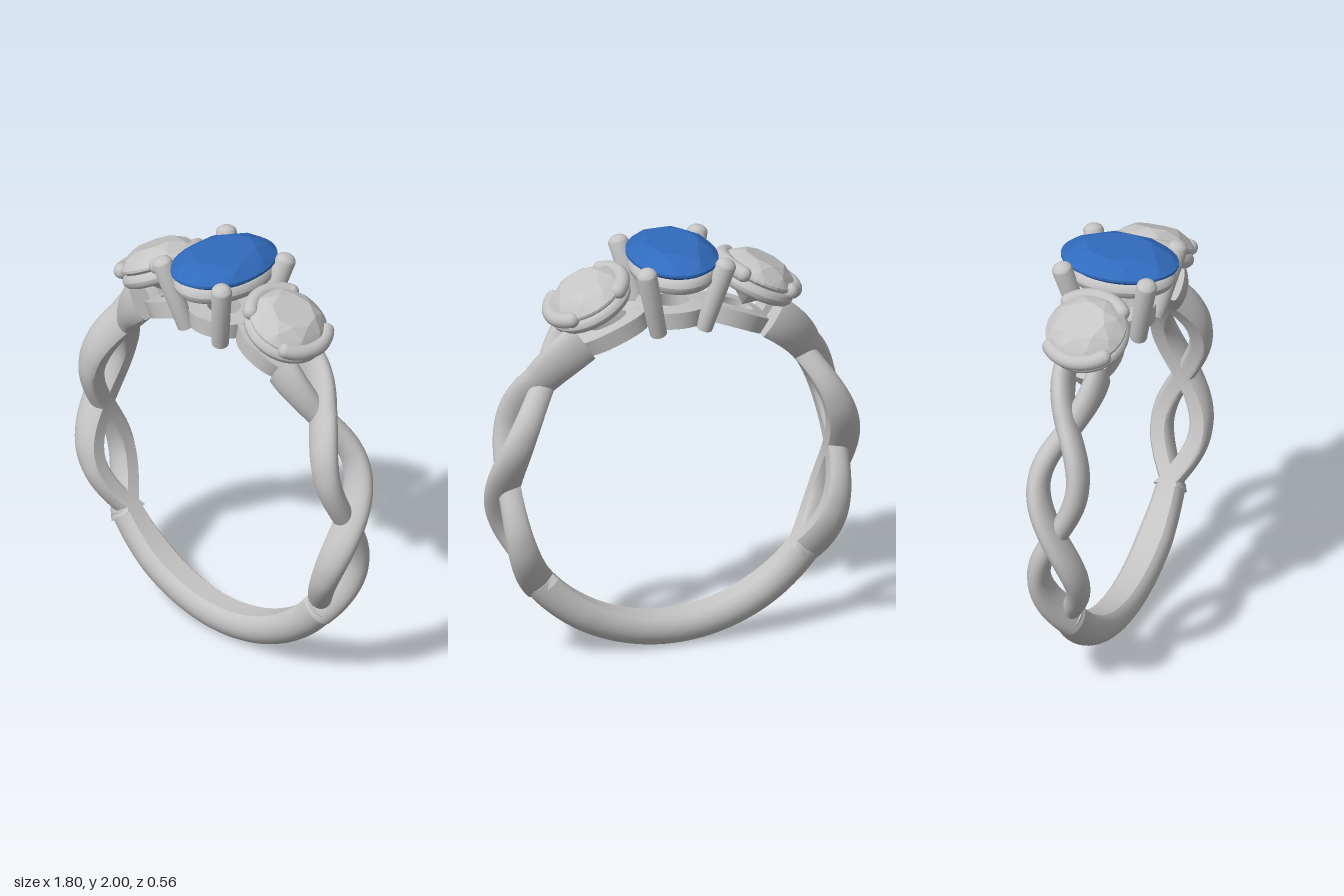
import * as THREE from 'three';
import { toCreasedNormals } from 'three/addons/utils/BufferGeometryUtils.js';
import { ConvexGeometry } from 'three/addons/geometries/ConvexGeometry.js';

const CY = 0.89, INNER = 0.74, DEG = Math.PI / 180;
const mat = (name, color) => Object.assign(new THREE.MeshStandardMaterial({ color }), { name });

export function createModel() {
  const metal = mat('silver metal', 0xc4c4c4);
  const clear = mat('clear gem', 0xc6c6c6);
  const blue = mat('blue gem', 0x316bbd);
  const model = new THREE.Group();
  model.name = 'ring';

  const add = (parent, name, geo, material = metal) => {
    const mesh = new THREE.Mesh(geo, material);
    mesh.name = name;
    parent.add(mesh);
    return mesh;
  };

  // Band swept round the finger; section(angle in degrees) gives z centre, half width and outer radius
  function band(a0, a1, steps, section) {
    const M = 28, pos = [], idx = [];
    const put = (a, r, z) => pos.push(r * Math.cos(a * DEG), CY + r * Math.sin(a * DEG), z);
    for (let i = 0; i <= steps; i++) {
      const a = a0 + (a1 - a0) * i / steps, { z, w, outer } = section(a);
      const low = INNER - 0.02, mid = (outer + low) / 2, h = (outer - low) / 2;
      for (let j = 0; j < M; j++) {
        const p = j / M * Math.PI * 2;
        put(a, Math.max(INNER, mid + h * Math.sin(p)), z + w * Math.cos(p));
      }
    }
    const ends = [a0, a1].map(a => {
      const { z, outer } = section(a);
      put(a, (INNER + outer) / 2, z);
      return pos.length / 3 - 1;
    });
    for (let j = 0; j < M; j++) {
      const k = (j + 1) % M;
      for (let i = 0; i < steps; i++) {
        const a = i * M + j, b = i * M + k;
        idx.push(a, b, b + M, a, b + M, a + M);
      }
      idx.push(ends[0], k, j, ends[1], steps * M + j, steps * M + k);
    }
    const geo = new THREE.BufferGeometry();
    geo.setAttribute('position', new THREE.Float32BufferAttribute(pos, 3));
    geo.setIndex(idx);
    return toCreasedNormals(geo, 0.7);
  }

  // Faceted gem: table, crown, girdle, pavilion and culet
  function gem(rx, rz, crown, pavilion, table) {
    const pts = [new THREE.Vector3(0, -pavilion, 0)];
    const ring = (n, f, y, turn) => {
      for (let i = 0; i < n; i++) {
        const a = (i + turn) / n * Math.PI * 2;
        pts.push(new THREE.Vector3(rx * f * Math.cos(a), y, rz * f * Math.sin(a)));
      }
    };
    ring(8, table, crown, 0);
    ring(8, (1 + table) / 2 + 0.04, crown * 0.62, 0.5);
    ring(32, 1, 0.006, 0);
    ring(32, 1, -0.006, 0);
    ring(8, 0.5, -pavilion * 0.53, 0.5);
    return new ConvexGeometry(pts);
  }

  // Tapered post with a rounded tip
  function post(parent, name, from, to, r0, r1) {
    const dir = to.clone().sub(from), len = dir.length(), pts = [new THREE.Vector2(0, 0), new THREE.Vector2(r0, 0)];
    for (let i = 0; i <= 8; i++) {
      const a = i / 8 * Math.PI / 2;
      pts.push(new THREE.Vector2(r1 * Math.cos(a), len + r1 * 0.75 * Math.sin(a)));
    }
    const mesh = add(parent, name, toCreasedNormals(new THREE.LatheGeometry(pts, 20), 0.7));
    mesh.position.copy(from);
    mesh.quaternion.setFromUnitVectors(new THREE.Vector3(0, 1, 0), dir.normalize());
  }

  // Oval wire ring lying flat
  function wire(rx, rz, tube) {
    const geo = new THREE.TorusGeometry(1, 0.2, 14, 64), p = geo.attributes.position;
    for (let i = 0; i < p.count; i++) {
      const a = Math.atan2(p.getY(i), p.getX(i));
      const d = (Math.hypot(p.getX(i), p.getY(i)) - 1) / 0.2 * tube;
      p.setXYZ(i, (rx + d) * Math.cos(a), p.getZ(i) / 0.2 * tube, -(rz + d) * Math.sin(a));
    }
    geo.computeVertexNormals();
    return geo;
  }

  // Pierced oval plate bent over the top of the finger hole
  function bridgePlate(s, rx, rz, hx, hz) {
    const shape = new THREE.Shape().absellipse(s, 0, rx, rz, 0, Math.PI * 2);
    shape.holes.push(new THREE.Path().absellipse(s, 0, hx, hz, 0, Math.PI * 2));
    const geo = new THREE.ExtrudeGeometry(shape, { depth: 0.08, bevelEnabled: false, curveSegments: 40 });
    const p = geo.attributes.position;
    for (let i = 0; i < p.count; i++) {
      const a = p.getX(i) / 0.78, r = INNER + p.getZ(i);
      p.setXYZ(i, r * Math.sin(a), CY + r * Math.cos(a), -p.getY(i));
    }
    return toCreasedNormals(geo, 0.6);
  }

  // Shank across the bottom
  add(model, 'shank', band(-142, -38, 64, a => {
    const e = Math.max(0, (Math.abs(a + 90) - 32) / 20);
    return { z: 0, w: 0.084 - 0.02 * e, outer: 0.89 };
  }));

  // Bridge under the settings
  add(model, 'bridgeCentre', bridgePlate(0, 0.16, 0.165, 0.075, 0.075));
  for (const s of [-1, 1]) add(model, 'bridgeSide', bridgePlate(s * 0.3, 0.18, 0.12, 0.085, 0.055));

  // Centre setting
  add(model, 'centreGem', gem(0.205, 0.28, 0.062, 0.175, 0.6), blue).position.y = 1.938;
  add(model, 'centreGallery', wire(0.15, 0.222, 0.044)).position.y = 1.872;
  for (const x of [-1, 1]) for (const z of [-1, 1]) {
    post(model, 'centreProng', new THREE.Vector3(x * 0.11, 1.61, z * 0.135),
      new THREE.Vector3(x * 0.19, 1.935, z * 0.208), 0.04, 0.048);
  }

  // Each shoulder: two twisted strands and a tilted round setting
  for (const side of [1, -1]) {
    const shoulder = new THREE.Group();
    shoulder.name = side > 0 ? 'leftShoulder' : 'rightShoulder';
    shoulder.scale.x = side;
    model.add(shoulder);

    for (const s of [1, -1]) {
      add(shoulder, 'twistedStrand', band(-40, 57, 72, a => {
        const p = a / 38 * Math.PI, up = Math.max(0, (a - 38) / 20);
        return {
          z: s * (up > 0 ? 0.08 : 0.095) * Math.sin(p),
          w: 0.05 + 0.008 * Math.abs(Math.cos(p)),
          outer: 0.87 - s * 0.028 * Math.cos(p) + 0.08 * up,
        };
      }));
    }

    const setting = new THREE.Group();
    setting.name = 'sideSetting';
    setting.position.set(0.415, 1.79, 0);
    setting.rotation.z = -27 * DEG;
    shoulder.add(setting);
    add(setting, 'sideGem', gem(0.188, 0.188, 0.075, 0.17, 0.55), clear);
    add(setting, 'sideGallery', wire(0.163, 0.158, 0.036)).position.y = -0.052;

    // Curved clasps at the inner and outer ends
    for (const turn of [0, Math.PI]) {
      const pts = [];
      for (let i = 0; i <= 10; i++) {
        const a = turn + (i / 10 - 0.5) * 92 * DEG;
        pts.push(new THREE.Vector3(0.183 * Math.cos(a), 0, 0.183 * Math.sin(a)));
      }
      add(setting, 'clasp', new THREE.TubeGeometry(new THREE.CatmullRomCurve3(pts), 24, 0.037, 14));
      for (const end of [pts[0], pts[10]]) {
        add(setting, 'claspTip', new THREE.SphereGeometry(0.037, 14, 10)).position.copy(end);
      }
    }
  }
  return model;
}
